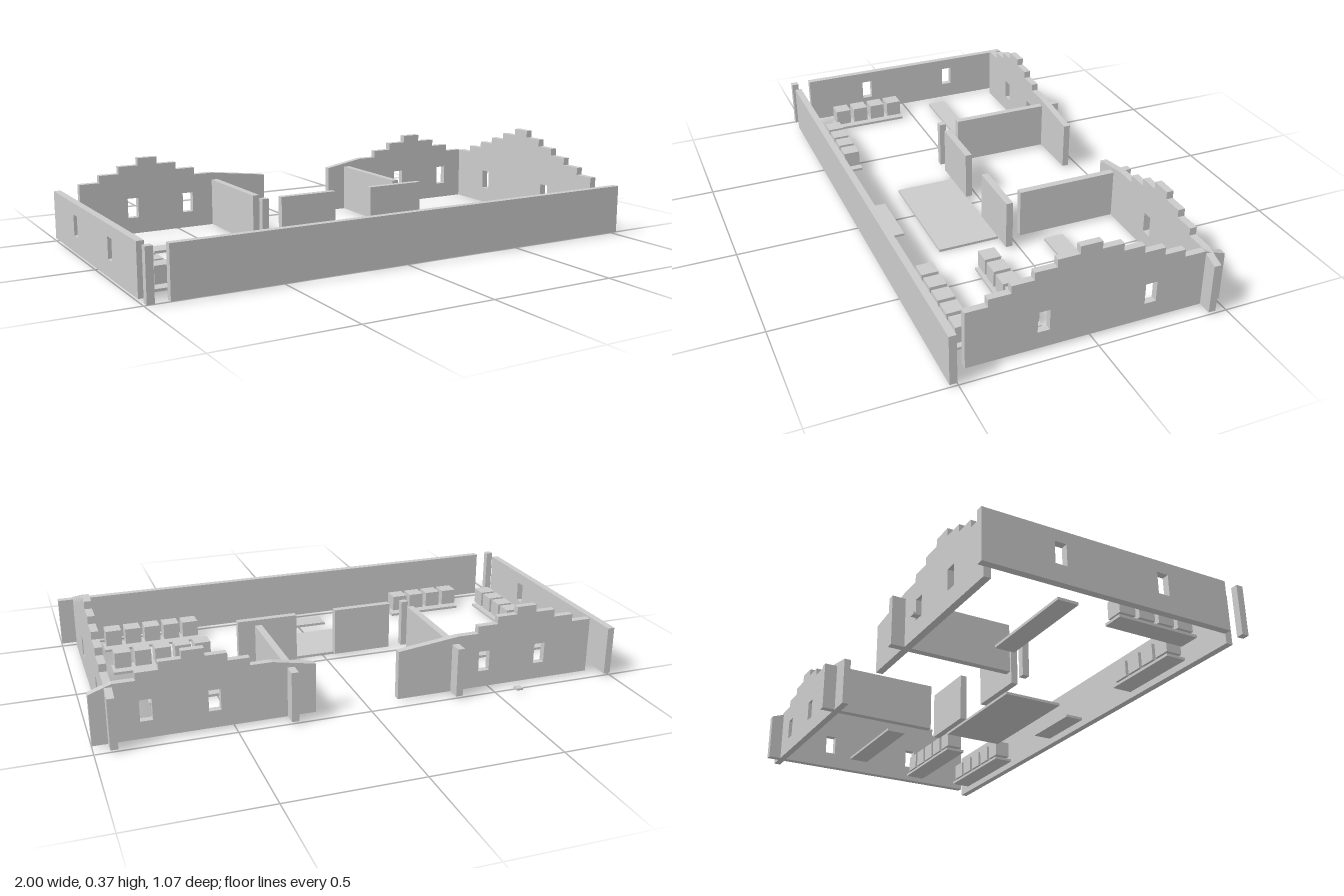
import * as THREE from 'three';

const BASE = 0.01, TOP = 0.2, THICK = 0.027;

export function createModel() {
  const model = new THREE.Group();
  const material = new THREE.MeshStandardMaterial({ color: 0xcccccc, flatShading: true });

  const add = (name, geometry, parent = model) => {
    const mesh = new THREE.Mesh(geometry, material);
    mesh.name = name;
    parent.add(mesh);
    return mesh;
  };

  // Box given by its extents
  const box = (name, x0, x1, y0, y1, z0, z1, parent) =>
    add(name, new THREE.BoxGeometry(x1 - x0, y1 - y0, z1 - z0), parent)
      .position.set((x0 + x1) / 2, (y0 + y1) / 2, (z0 + z1) / 2);
  const wall = (name, x0, x1, z0, z1) => box(name, x0, x1, BASE, TOP, z0, z1);
  const pad = (name, x0, x1, z0, z1) => box(name, x0, x1, 0, BASE, z0, z1);

  // Upright wall with window holes and an optional stepped gable on top.
  // The gable starts at u = gable.start and has `count` treads of width 0.08.
  const windowWall = (name, u0, u1, windows, gable) => {
    const shape = new THREE.Shape();
    shape.moveTo(u0, BASE);
    shape.lineTo(u1, BASE);
    shape.lineTo(u1, TOP);
    if (gable) {
      for (let i = gable.count - 1; i >= 0; i--) {
        const y = TOP + 0.029 * (1 + Math.min(i, gable.count - 1 - i));
        shape.lineTo(gable.start + (i + 1) * 0.08, y);
        shape.lineTo(gable.start + i * 0.08, y);
      }
    }
    shape.lineTo(u0, TOP);
    for (const u of windows) {
      const hole = new THREE.Path();
      hole.moveTo(u - 0.022, 0.075);
      hole.lineTo(u - 0.022, 0.155);
      hole.lineTo(u + 0.022, 0.155);
      hole.lineTo(u + 0.022, 0.075);
      shape.holes.push(hole);
    }
    return add(name, new THREE.ExtrudeGeometry(shape, { depth: THICK, bevelEnabled: false }));
  };

  // Back walls with gables
  windowWall('backWallRight', -0.92, -0.12, [-0.705, -0.47], { start: -0.92, count: 7 }).position.z = -0.455;
  windowWall('backWallLeft', 0.2, 1, [0.57, 0.81], { start: 0.36, count: 7 }).position.z = -0.455;

  // Side walls: the profile runs along -z after the quarter turn
  const leftWall = windowWall('leftSideWall', -0.456, 0.506, [-0.178, 0.222], { start: -0.456, count: 11 });
  leftWall.rotation.y = Math.PI / 2;
  leftWall.position.x = 0.918;
  const rightWall = windowWall('rightSideWall', -0.45, 0.506, [-0.178, 0.222]);
  rightWall.rotation.y = Math.PI / 2;
  rightWall.position.x = -1;

  // Front wall and corner post
  wall('frontWall', -0.92, 1, 0.503, 0.53);
  wall('cornerPost', -1, -0.973, 0.503, 0.53);

  // Inner partitions and the entrance screen
  wall('rightPartition', -0.362, -0.335, -0.506, -0.03);
  wall('leftPartition', 0.279, 0.306, -0.506, -0.03);
  wall('screenPost', -0.362, -0.335, 0.025, 0.052);
  wall('rightScreen', -0.28, -0.043, 0.025, 0.052);
  wall('leftScreen', 0.12, 0.36, 0.025, 0.052);

  // Floor pads
  pad('centerFloorPad', -0.2, 0.28, 0.05, 0.29);
  pad('frontFloorPad', -0.12, 0.12, 0.375, 0.45);
  pad('rightRoomPad', -0.92, -0.524, -0.187, -0.109);
  pad('leftRoomPad', 0.36, 0.756, -0.187, -0.109);

  // Rows of cubes hovering over a thin base
  const cubeRow = (name, x, z, count, alongZ) => {
    const row = new THREE.Group();
    row.name = name;
    const length = count * 0.08;
    box('rowBase', 0, alongZ ? 0.08 : length, 0, BASE, 0, alongZ ? length : 0.08, row);
    for (let i = 0; i < count; i++) {
      const a = i * 0.08 + 0.008;
      const [cx, cz] = alongZ ? [0.008, a] : [a, 0.008];
      box('rowCube', cx, cx + 0.064, 0.023, 0.087, cz, cz + 0.064, row);
    }
    row.position.set(x, 0, z);
    model.add(row);
  };
  cubeRow('sideCubeRow', -0.92, 0.052, 4, true);
  cubeRow('frontRightCubeRow', -0.76, 0.372, 4, false);
  cubeRow('middleLeftCubeRow', 0.44, 0.131, 5, false);
  cubeRow('frontLeftCubeRow', 0.44, 0.372, 5, false);

  // Small loose block behind the back wall
  box('looseBlock', -0.6, -0.575, 0.01, 0.018, -0.535, -0.508);

  return model;
}
